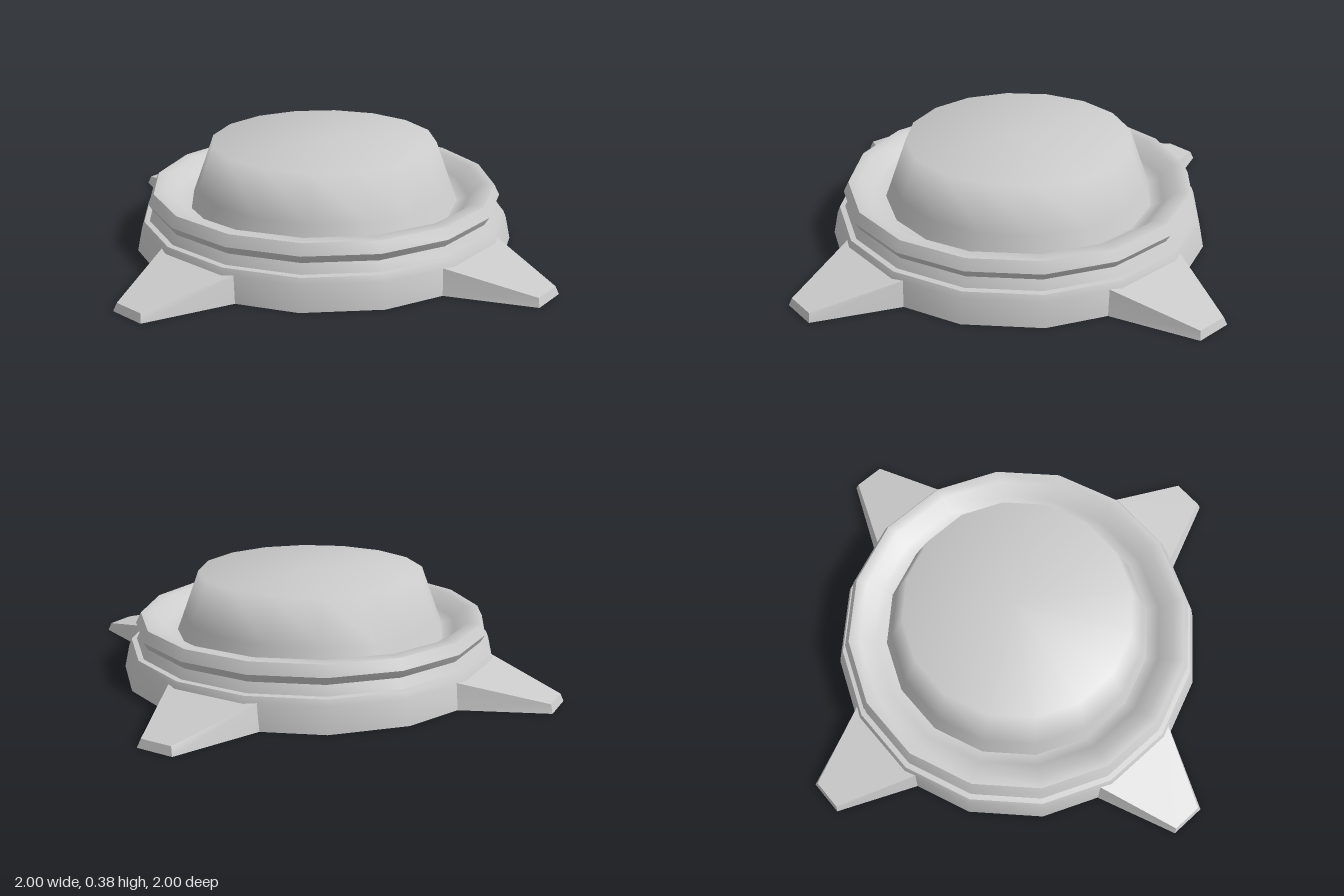
import * as THREE from 'three';
import { toCreasedNormals } from 'three/addons/utils/BufferGeometryUtils.js';

const SIDES = 16;
const material = new THREE.MeshStandardMaterial({ color: 0xcccccc, side: THREE.DoubleSide });

// 16-sided turned surface with its flats on the axes; profile is given as [flat distance, y]
function turned(profile) {
  const toRadius = 1 / Math.cos(Math.PI / SIDES);
  const points = profile.map(([r, y]) => new THREE.Vector2(r * toRadius, y));
  return new THREE.LatheGeometry(points, SIDES, Math.PI / SIDES);
}

// Wedge pointing along +z: wide and tall at the rim, narrow and thin at the tip
function spikeGeometry() {
  const geometry = new THREE.BoxGeometry(2, 1, 1);
  const p = geometry.attributes.position;
  for (let i = 0; i < p.count; i++) {
    const side = Math.sign(p.getX(i));
    const top = p.getY(i) > 0;
    const tip = p.getZ(i) > 0;
    const width = tip ? (top ? 0.06 : 0.07) : (top ? 0.185 : 0.21);
    const height = top ? (tip ? 0.03 : 0.094) : 0;
    const z = tip ? (top ? 0.99 : 1) : 0.68;
    p.setXYZ(i, side * width, height, z);
  }
  geometry.computeVertexNormals();
  return geometry;
}

export function createModel() {
  const model = new THREE.Group();
  const add = (name, geometry) => {
    const mesh = new THREE.Mesh(geometry, material);
    mesh.name = name;
    model.add(mesh);
    return mesh;
  };

  // Hollow base skirt, grooved bead and inner seat, open underneath
  const ring = turned([
    [0.725, 0], [0.705, 0.09], [0.695, 0.113], [0.675, 0.115], [0.658, 0.15],
    [0.675, 0.18], [0.655, 0.22], [0.61, 0.22], [0.56, 0.17], [0.52, 0.15], [0.405, 0.15],
  ]);
  add('baseRing', toCreasedNormals(ring, 0.95));

  // Flat-topped dome, softly shaded over its rim
  add('dome', turned([[0.52, 0.14], [0.49, 0.22], [0.43, 0.385], [0, 0.385]]));

  // Four spikes around the skirt
  const spike = spikeGeometry();
  ['frontSpike', 'leftSpike', 'backSpike', 'rightSpike'].forEach((name, i) => {
    add(name, spike).rotation.y = (i * Math.PI) / 2;
  });

  return model;
}
